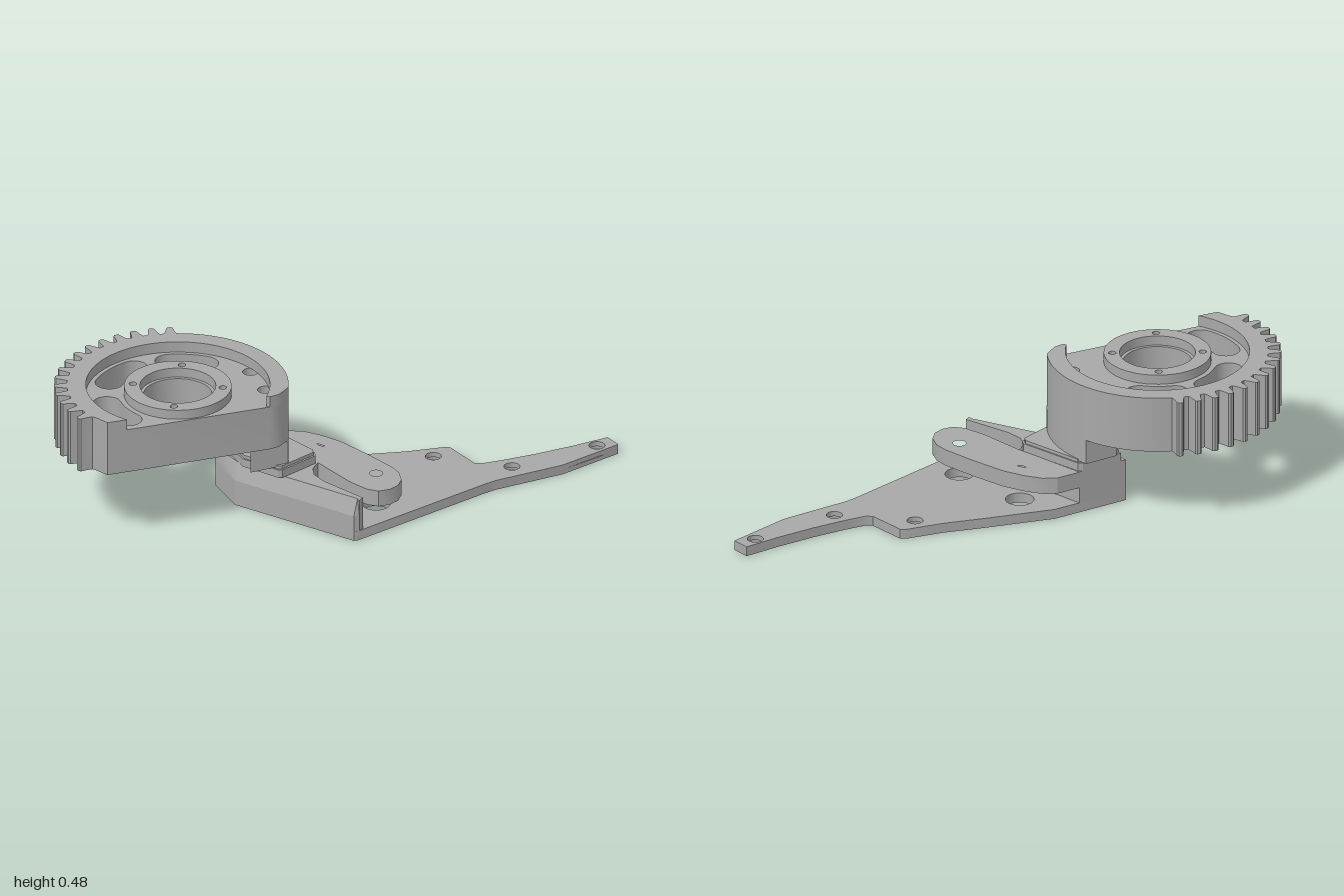
import * as THREE from 'three';
import { toCreasedNormals } from 'three/addons/utils/BufferGeometryUtils.js';

const GREY = new THREE.MeshStandardMaterial({ color: 0xa8a8a8 });
GREY.name = 'plain grey';
const DEG = Math.PI / 180;
const GEAR_X = -0.571, GEAR_Z = -0.03;

const polar = (r, deg) => [r * Math.cos(deg * DEG), r * Math.sin(deg * DEG)];
const arc = (r, a0, a1, n) => Array.from({ length: n + 1 }, (_, i) => polar(r, a0 + (a1 - a0) * i / n));
const shapeOf = pts => new THREE.Shape(pts.map(p => new THREE.Vector2(p[0], p[1])));
// plan outlines are given as [x, z]; shapes use y = -z
const plan = pts => shapeOf(pts.map(([x, z]) => [x, -z]));
const hole = (x, y, r) => new THREE.Path().absarc(x, y, r, 0, Math.PI * 2, true);

// upright prism between two heights
function prism(name, shape, y0, y1, holes = []) {
  shape.holes.push(...holes);
  const geo = new THREE.ExtrudeGeometry(shape, { depth: y1 - y0, bevelEnabled: false, curveSegments: 24 });
  geo.rotateX(-Math.PI / 2).translate(0, y0, 0);
  const mesh = new THREE.Mesh(toCreasedNormals(geo, 0.5), GREY);
  mesh.name = name;
  return mesh;
}

// kidney-shaped slot around the gear axis
function slot(a0, a1) {
  const r = 0.255, w = 0.05;
  const cap = (deg, from) => arc(w, from, from + 180, 10).map(([x, y]) => {
    const c = polar(r, deg);
    return [x + c[0], y + c[1]];
  });
  const pts = [...arc(r + w, a0, a1, 16), ...cap(a1, a1), ...arc(r - w, a1, a0, 16), ...cap(a0, a0 + 180)];
  return new THREE.Path(pts.map(p => new THREE.Vector2(p[0], p[1])));
}

// outer outline: plain arc, toothed sector, straight chord
function gearOutline() {
  const pts = [[0.25, -0.22], [0.285, -0.217], [0.31, -0.202], ...arc(0.385, -28, 62, 36)];
  const pitch = 8.75;
  for (let i = 0; i < 15; i++) {
    const a = 67 + i * pitch + 2;
    pts.push(polar(0.385, a - pitch * 0.36), polar(0.4, a - pitch * 0.27), polar(0.426, a - pitch * 0.17),
      polar(0.431, a - pitch * 0.08), polar(0.431, a + pitch * 0.08), polar(0.426, a + pitch * 0.17),
      polar(0.4, a + pitch * 0.27), polar(0.385, a + pitch * 0.36));
  }
  pts.push([-0.364, -0.11], [-0.344, -0.16]);
  return pts;
}

function buildGear() {
  const gear = new THREE.Group();
  gear.name = 'gearSector';
  gear.position.set(GEAR_X, 0, GEAR_Z);

  gear.add(prism('gearBody', shapeOf(gearOutline()), 0.28, 0.445, [
    hole(0, 0, 0.12), slot(44, 72), slot(102, 134), slot(170, 202),
    hole(0.301, 0.05, 0.027), hole(0.291, -0.095, 0.027),
  ]));

  // raised rim, open along the chord
  gear.add(prism('gearRim', shapeOf([...gearOutline(), ...arc(0.32, 211.7, -41.1, 64)]), 0.445, 0.485));

  // bearing hub with four screw holes
  const hub = new THREE.Shape().absarc(0, 0, 0.187, 0, Math.PI * 2);
  const screws = [60, 150, 240, 330].map(a => hole(...polar(0.157, a), 0.013));
  gear.add(prism('hubRing', hub, 0.445, 0.48, [hole(0, 0, 0.132), ...screws]));

  // curved neck under the plain side of the rim
  gear.add(prism('curvedNeck', shapeOf([...arc(0.385, -30.4, 18.2, 18), ...arc(0.27, 26.4, -46.2, 20)]), 0.19, 0.28));
  return gear;
}

function buildBracket() {
  const bracket = new THREE.Group();
  bracket.name = 'bracket';

  // base plate with a long tail; the holes are wider underneath
  const outline = [[-0.12, 0.45], [-0.105, 0.453], [0.45, 0.315], [0.49, 0.308], [0.75, 0.3], [0.99, 0.24],
    [0.98, 0.175], [0.85, 0.183], [0.7, 0.184], [0.58, 0.178], [0.5, 0.17], [0.477, 0.155],
    [0.452, 0.015], [0.435, 0.004], [0.3, -0.022], [0.16, -0.063], [-0.09, -0.13], [-0.38, -0.13], [-0.38, 0.03]];
  const through = [[0.37, 0.05], [0.585, 0.235], [0.92, 0.215]];
  const access = [[-0.03, 0.005], [0.04, 0.29]];
  const blind = [[-0.29, -0.04], [-0.26, 0.1]];
  const holes = (list, r) => list.map(([x, z]) => hole(x, -z, r));
  bracket.add(prism('basePlateLower', plan(outline), 0, 0.018,
    [...holes(through, 0.045), ...holes(access, 0.05), ...holes(blind, 0.05)]));
  bracket.add(prism('basePlateUpper', plan(outline), 0.018, 0.036,
    [...holes(through, 0.028), ...holes(access, 0.05), ...holes(blind, 0.05)]));

  // side wall running into the rear block, its outer face leaning inward near the top
  const wall = [[-0.12, 0.45], [-0.1, 0.452], [-0.08, 0.44], [-0.15, 0.27], [-0.16, 0.21], [-0.145, 0.165],
    [-0.11, 0.135], [-0.19, -0.13], [-0.38, -0.13], [-0.38, 0.03]];
  bracket.add(prism('sideWall', plan(wall), 0.036, 0.095));
  const lean = wall.slice();
  const top = prism('leaningWallTop', plan(lean), 0.095, 0.155);
  const pos = top.geometry.attributes.position;
  for (let i = 0; i < pos.count; i++) {
    const x = pos.getX(i), z = pos.getZ(i);
    const offset = (x + 0.12) * 0.85 - (z - 0.45) * 0.526;
    if (pos.getY(i) < 0.15 || offset > 0.012) continue;
    pos.setX(i, x + 0.02);
    if (z > 0) pos.setZ(i, z - 0.012);
  }
  top.geometry = toCreasedNormals(top.geometry, 0.5);
  bracket.add(top);

  // raised pad carrying the neck
  const pad = [[-0.36, -0.13], [-0.205, -0.13], [-0.19, -0.12], [-0.113, 0.115], [-0.12, 0.135],
    [-0.27, 0.185], [-0.285, 0.178], [-0.36, 0.05]];
  bracket.add(prism('raisedPad', plan(pad), 0.155, 0.185));
  const padTop = pad.map(([x, z]) => [-0.24 + (x + 0.24) * 0.95, 0.02 + (z - 0.02) * 0.95]);
  bracket.add(prism('raisedPadTop', plan(padTop), 0.185, 0.197));

  // overhanging tab above the base plate
  const tab = [[-0.2, -0.13], [-0.1, -0.13], [-0.055, -0.105], [-0.01, -0.05], [0.03, 0.02], [0.075, 0.15],
    [0.11, 0.27], [0.114, 0.32], [0.1, 0.37], [0.07, 0.405], [0.03, 0.42], [-0.01, 0.415],
    [-0.04, 0.385], [-0.07, 0.31], [-0.11, 0.13]];
  bracket.add(prism('overhangingTab', plan(tab), 0.094, 0.154, holes(access, 0.023)));
  return bracket;
}

export function createModel() {
  const model = new THREE.Group();
  model.name = 'gearArm';
  model.add(buildGear(), buildBracket());
  return model;
}
